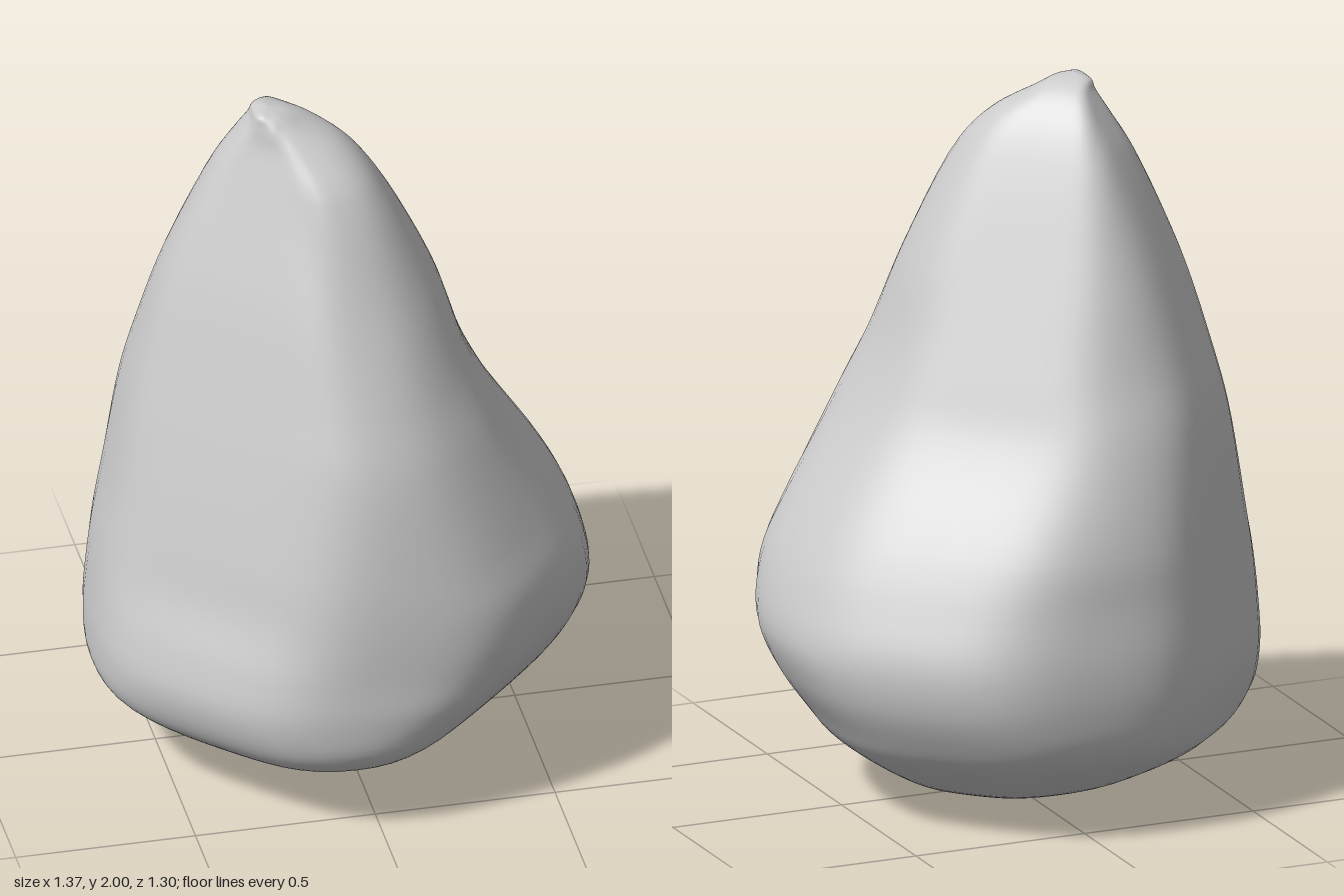
import * as THREE from 'three';

// Each level: height, then the rock's reach in eight directions,
// starting at +x and turning towards +z in steps of 45 degrees.
const LEVELS = [
  [0.008, 0.12, 0.11, 0.10, 0.10, 0.10, 0.11, 0.12, 0.12],
  [0.04, 0.26, 0.23, 0.21, 0.21, 0.20, 0.22, 0.26, 0.26],
  [0.10, 0.38, 0.34, 0.36, 0.38, 0.37, 0.40, 0.43, 0.41],
  [0.20, 0.52, 0.46, 0.58, 0.56, 0.59, 0.58, 0.57, 0.54],
  [0.27, 0.57, 0.53, 0.64, 0.62, 0.67, 0.61, 0.62, 0.59],
  [0.38, 0.64, 0.61, 0.65, 0.65, 0.68, 0.635, 0.64, 0.64],
  [0.50, 0.68, 0.66, 0.64, 0.63, 0.67, 0.635, 0.64, 0.65],
  [0.65, 0.65, 0.67, 0.63, 0.58, 0.65, 0.625, 0.62, 0.60],
  [0.80, 0.58, 0.62, 0.61, 0.545, 0.62, 0.61, 0.60, 0.53],
  [1.08, 0.41, 0.51, 0.55, 0.47, 0.57, 0.57, 0.52, 0.36],
  [1.25, 0.33, 0.43, 0.48, 0.42, 0.53, 0.52, 0.45, 0.29],
  [1.50, 0.25, 0.325, 0.36, 0.345, 0.46, 0.43, 0.36, 0.19],
  [1.80, 0.10, 0.18, 0.23, 0.235, 0.33, 0.30, 0.23, 0.065],
  [1.90, 0.02, 0.08, 0.14, 0.20, 0.27, 0.24, 0.17, 0.01],
  [1.96, -0.07, -0.03, 0.08, 0.19, 0.235, 0.20, 0.11, -0.04],
  [1.988, -0.13, -0.08, 0.05, 0.185, 0.225, 0.185, 0.06, -0.085],
];
const COLUMNS = 72;
const STEPS = 85;
const SHARPNESS = 12;
const FULLNESS = 1.01;

// Point on a level's outline: a softly rounded eight-sided polygon
function outlinePoint([y, ...reach], angle) {
  const cx = -0.19 * y / 2;
  let sum = 0;
  reach.forEach((h, k) => {
    const dir = k * Math.PI / 4;
    const facing = Math.cos(angle - dir);
    if (facing > 0) sum += (facing / (h - cx * Math.cos(dir))) ** SHARPNESS;
  });
  const r = FULLNESS * sum ** (-1 / SHARPNESS);
  return new THREE.Vector3(cx + r * Math.cos(angle), y, r * Math.sin(angle));
}

function rockGeometry() {
  const bottom = new THREE.Vector3(0, 0, 0);
  const top = new THREE.Vector3(-0.19, 2, 0);
  const positions = [...bottom.toArray(), ...top.toArray()];
  const index = [];
  const rows = STEPS - 1;
  const id = (c, r) => 2 + (c % COLUMNS) * rows + r;

  for (let c = 0; c < COLUMNS; c++) {
    // A smooth rib from the bottom pole to the peak
    const angle = c / COLUMNS * Math.PI * 2;
    const rib = new THREE.CatmullRomCurve3(
      [bottom, ...LEVELS.map((level) => outlinePoint(level, angle)), top]);
    for (let s = 1; s < STEPS; s++) positions.push(...rib.getPoint(s / STEPS).toArray());

    // Skin between this rib and the next
    index.push(0, id(c, 0), id(c + 1, 0));
    for (let r = 0; r < rows - 1; r++) {
      index.push(id(c, r), id(c, r + 1), id(c + 1, r));
      index.push(id(c + 1, r), id(c, r + 1), id(c + 1, r + 1));
    }
    index.push(id(c, rows - 1), 1, id(c + 1, rows - 1));
  }

  const geometry = new THREE.BufferGeometry();
  geometry.setAttribute('position', new THREE.Float32BufferAttribute(positions, 3));
  geometry.setIndex(index);
  geometry.computeVertexNormals();
  return geometry;
}

export function createModel() {
  const group = new THREE.Group();
  group.name = 'boulder';
  const rock = new THREE.Mesh(rockGeometry(), new THREE.MeshStandardMaterial({ color: 0xcccccc }));
  rock.name = 'rock';
  group.add(rock);
  return group;
}
